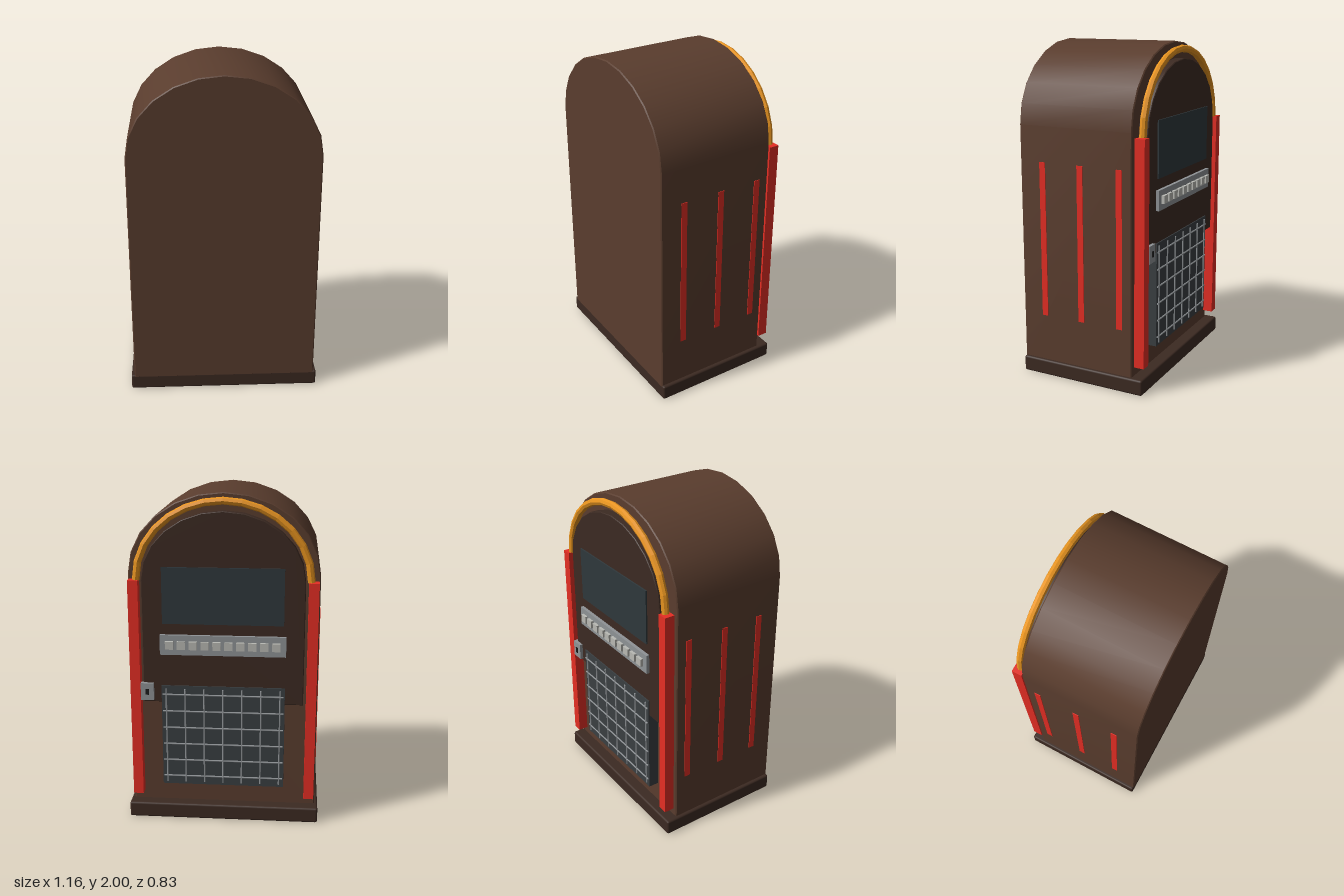
import * as THREE from 'three';
import { toCreasedNormals } from 'three/addons/utils/BufferGeometryUtils.js';
import { RoundedBoxGeometry } from 'three/addons/geometries/RoundedBoxGeometry.js';

const paint = (color, flatShading = false) => new THREE.MeshStandardMaterial({ color, flatShading });
const wood = paint(0x5a3d2e);
const darkWood = paint(0x3c2a22);
const red = paint(0xe62e24);
const gold = paint(0xe8941f, true);
const glassMat = paint(0x2f383c);
const mesh = paint(0x3a3f42);
const metal = paint(0x8f9396);
const pale = paint(0xb9bab4);
const black = paint(0x1c1c1c);

// Points along an elliptical arch, from +x over the top to -x
function archPoints(halfWidth, springY, topY, segments = 12) {
  return Array.from({ length: segments + 1 }, (_, i) => {
    const a = (Math.PI * i) / segments;
    return new THREE.Vector2(halfWidth * Math.cos(a), springY + (topY - springY) * Math.sin(a));
  });
}

// Arch-topped slab between two z positions, with a small bevel
function archSlab(halfWidth, bottom, springY, topY, zMin, zMax, bevel) {
  const w = halfWidth - bevel;
  const shape = new THREE.Shape([
    new THREE.Vector2(-w, bottom + bevel),
    new THREE.Vector2(w, bottom + bevel),
    ...archPoints(w, springY, topY - bevel),
  ]);
  const geo = new THREE.ExtrudeGeometry(shape, {
    depth: zMax - zMin - 2 * bevel,
    bevelEnabled: true, bevelSize: bevel, bevelThickness: bevel, bevelSegments: 1,
  });
  geo.translate(0, 0, zMin + bevel);
  return toCreasedNormals(geo, 0.5);
}

export function createModel() {
  const group = new THREE.Group();

  function add(name, geometry, material, parent = group) {
    const m = new THREE.Mesh(geometry, material);
    m.name = name;
    parent.add(m);
    return m;
  }
  // Box given by its limits on each axis
  function box(name, [x0, x1], [y0, y1], [z0, z1], material, parent = group) {
    const m = add(name, new THREE.BoxGeometry(x1 - x0, y1 - y0, z1 - z0), material, parent);
    m.position.set((x0 + x1) / 2, (y0 + y1) / 2, (z0 + z1) / 2);
    return m;
  }

  // Plinth and arched cabinet
  const base = add('base', new RoundedBoxGeometry(1.16, 0.095, 0.807, 2, 0.012), darkWood);
  base.position.set(0, 0.0475, 0.0065);
  add('cabinet', archSlab(0.56, 0.08, 1.53, 2, -0.322, 0.41, 0.006), wood);
  add('upperPanel', archSlab(0.475, 0.76, 1.5, 1.9, -0.38, -0.31, 0.004), darkWood);

  // Golden tube following the arch
  const path = new THREE.CurvePath();
  const pts = archPoints(0.507, 1.5, 1.957).map((p) => new THREE.Vector3(p.x, p.y, -0.363));
  const arch = new THREE.CatmullRomCurve3(pts);
  add('archTube', new THREE.TubeGeometry(arch, 14, 0.022, 8), gold);

  // Red pillars and side strips
  for (const s of [-1, 1]) {
    const pillar = add('pillar', new THREE.BoxGeometry(0.06, 1.34, 0.062), red);
    pillar.position.set(s * 0.522, 0.83, -0.366);
    for (const z of [-0.243, 0.01, 0.26]) {
      const strip = add('sideStrip', new THREE.BoxGeometry(0.02, 0.94, 0.038), red);
      strip.position.set(s * 0.554, 0.85, z);
    }
  }

  // Display window
  box('displayWindow', [-0.355, 0.355], [1.245, 1.58], [-0.389, -0.37], glassMat);

  // Selection panel with a row of buttons
  const selector = new THREE.Group();
  selector.name = 'selector';
  group.add(selector);
  box('selectorPlate', [-0.37, 0.37], [1.06, 1.18], [-0.4, -0.37], metal, selector);
  for (let i = 0; i < 10; i++) {
    const x = (i - 4.5) * 0.0695;
    box('selectorButton', [x - 0.024, x + 0.024], [1.097, 1.145], [-0.417, -0.395], pale, selector);
  }

  // Coin slot
  box('coinPlate', [0.412, 0.49], [0.775, 0.88], [-0.4, -0.37], metal);
  box('coinSlot', [0.441, 0.461], [0.81, 0.845], [-0.405, -0.395], black);

  // Speaker grille with crossing bars
  const grille = new THREE.Group();
  grille.name = 'speakerGrille';
  group.add(grille);
  box('grillePanel', [-0.367, 0.367], [0.23, 0.865], [-0.387, -0.32], mesh, grille);
  const bar = (length) => new THREE.CylinderGeometry(0.005, 0.005, length, 6);
  for (let i = 0; i < 7; i++) {
    add('grilleUpright', bar(0.6), metal, grille).position.set((i - 3) * 0.113, 0.547, -0.39);
  }
  for (let i = 0; i < 6; i++) {
    const b = add('grilleCrossbar', bar(0.72), metal, grille);
    b.rotation.z = Math.PI / 2;
    b.position.set(0, 0.285 + i * 0.105, -0.39);
  }

  return group;
}
